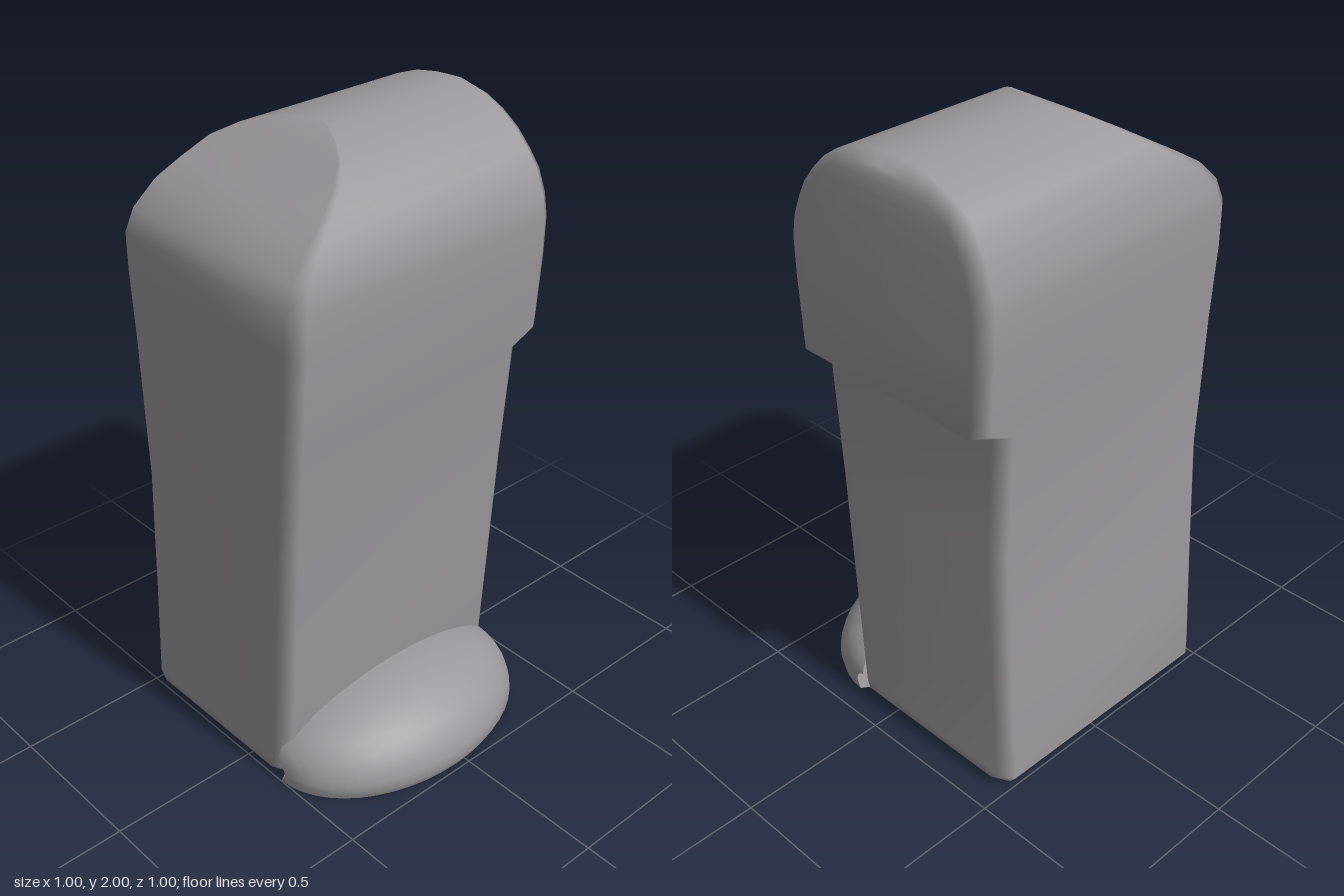
import * as THREE from 'three';
import { mergeVertices } from 'three/addons/utils/BufferGeometryUtils.js';

// Body heights: y, back z, front z, left-hand x, right-hand x
const ROWS = [
  [0, -0.475, 0.155, -0.5, 0.415],
  [0.03, -0.5, 0.165, -0.5, 0.415],
  [0.4, -0.48, 0.19, -0.5, 0.415],
  [0.85, -0.46, 0.22, -0.5, 0.415],
  [1.27, -0.475, 0.255, -0.5, 0.415],
  [1.31, -0.476, 0.26, -0.5, 0.5],
  [1.55, -0.49, 0.277, -0.5, 0.5],
  [1.67, -0.49, 0.28, -0.5, 0.5],
  [1.74, -0.48, 0.268, -0.47, 0.5],
  [1.81, -0.46, 0.24, -0.4, 0.5],
  [1.86, -0.435, 0.2, -0.32, 0.5],
  [1.91, -0.405, 0.15, -0.235, 0.5],
  [1.95, -0.34, 0.09, -0.17, 0.5],
  [1.98, -0.26, 0.02, -0.12, 0.5],
  [1.995, -0.18, -0.06, -0.08, 0.5],
  [2, -0.12, -0.12, -0.06, 0.5],
];

// Joins equal-length stations of points, ordered from -x to +x
function loftIndices(stations, count, closed) {
  const index = [];
  const steps = closed ? count : count - 1;
  for (let i = 0; i < stations - 1; i++) {
    for (let j = 0; j < steps; j++) {
      const k = (j + 1) % count;
      const a = i * count + j, b = a + count;
      const c = (i + 1) * count + k, d = i * count + k;
      index.push(a, b, c, a, c, d);
    }
  }
  return index;
}

function smoothGeometry(points, index) {
  let geometry = new THREE.BufferGeometry();
  geometry.setAttribute('position', new THREE.Float32BufferAttribute(points.flat(), 3));
  geometry.setIndex(index);
  geometry = mergeVertices(geometry, 1e-4);
  geometry.computeVertexNormals();
  return geometry;
}

// One bevelled slice of the body outline: up the front, down the back
function bodyStation(right, inner) {
  const point = (row, front) => {
    const [y, back, face, x0, x1] = row;
    const fade = right ? 1 : Math.min(1, (2 - y) / 0.3);
    const bevel = 0.047 * fade;
    let z = front ? face : back;
    let h = y;
    let x = right ? x1 : x0;
    if (inner) {
      const shift = Math.min(0.035 * fade, (face - back) / 2);
      z += front ? -shift : shift;
      h += 0.03 - y * (right ? 0.025 : 0.015);
    } else {
      x += right ? -bevel : bevel;
    }
    return [x, h, z];
  };
  return [
    ...ROWS.map((r) => point(r, true)),
    ...[...ROWS].reverse().map((r) => point(r, false)),
  ];
}

function bodyGeometry() {
  const stations = [
    bodyStation(false, true),
    bodyStation(false, false),
    bodyStation(true, false),
    bodyStation(true, true),
  ];
  const count = ROWS.length * 2;
  const index = loftIndices(4, count, true);
  // Side faces, joined row by row from front to back
  for (let j = 0; j < ROWS.length - 1; j++) {
    const back = count - 1 - j;
    const r = 3 * count;
    index.push(r + j, r + back, r + back - 1, r + j, r + back - 1, r + j + 1);
    index.push(j, back - 1, back, j, j + 1, back - 1);
  }
  return smoothGeometry(stations.flat(), index);
}

// Rounded toe dome, tapering to both ends
const TOE_STEPS = 24;
const toeX = (t) => -0.04 - 0.458 * Math.cos(t);
const toeZ = (t) => 0.18 + 0.315 * Math.sin(t);

function toeGeometry() {
  const points = [];
  const arc = 10;
  for (let i = 0; i <= TOE_STEPS; i++) {
    const t = (i / TOE_STEPS) * Math.PI;
    const x = toeX(t), zf = toeZ(t);
    const height = 0.07 + 0.19 * Math.sin(t);
    points.push([x, 0, zf - 0.015]);
    for (let j = 0; j <= arc; j++) {
      const p = (j / arc) * Math.PI / 2;
      points.push([x, 0.03 + (height - 0.03) * Math.sin(p), 0.15 + (zf - 0.15) * Math.cos(p)]);
    }
  }
  return smoothGeometry(points, loftIndices(TOE_STEPS + 1, arc + 2, false));
}

// Flat underside of the toe
function soleGeometry() {
  const outline = [];
  for (let i = 0; i <= TOE_STEPS; i++) {
    const t = (i / TOE_STEPS) * Math.PI;
    outline.push(new THREE.Vector2(toeX(t), toeZ(t) - 0.015));
  }
  outline.push(new THREE.Vector2(0.38, 0.14), new THREE.Vector2(-0.46, 0.14));
  return new THREE.ShapeGeometry(new THREE.Shape(outline)).rotateX(Math.PI / 2);
}

export function createModel() {
  const model = new THREE.Group();
  model.name = 'model';
  const grey = new THREE.MeshStandardMaterial({ color: 0x9a989c, side: THREE.DoubleSide });
  grey.name = 'grey';

  const add = (name, geometry) => {
    const mesh = new THREE.Mesh(geometry, grey);
    mesh.name = name;
    model.add(mesh);
  };
  add('body', bodyGeometry());
  add('toe', toeGeometry());
  add('toeSole', soleGeometry());
  return model;
}
